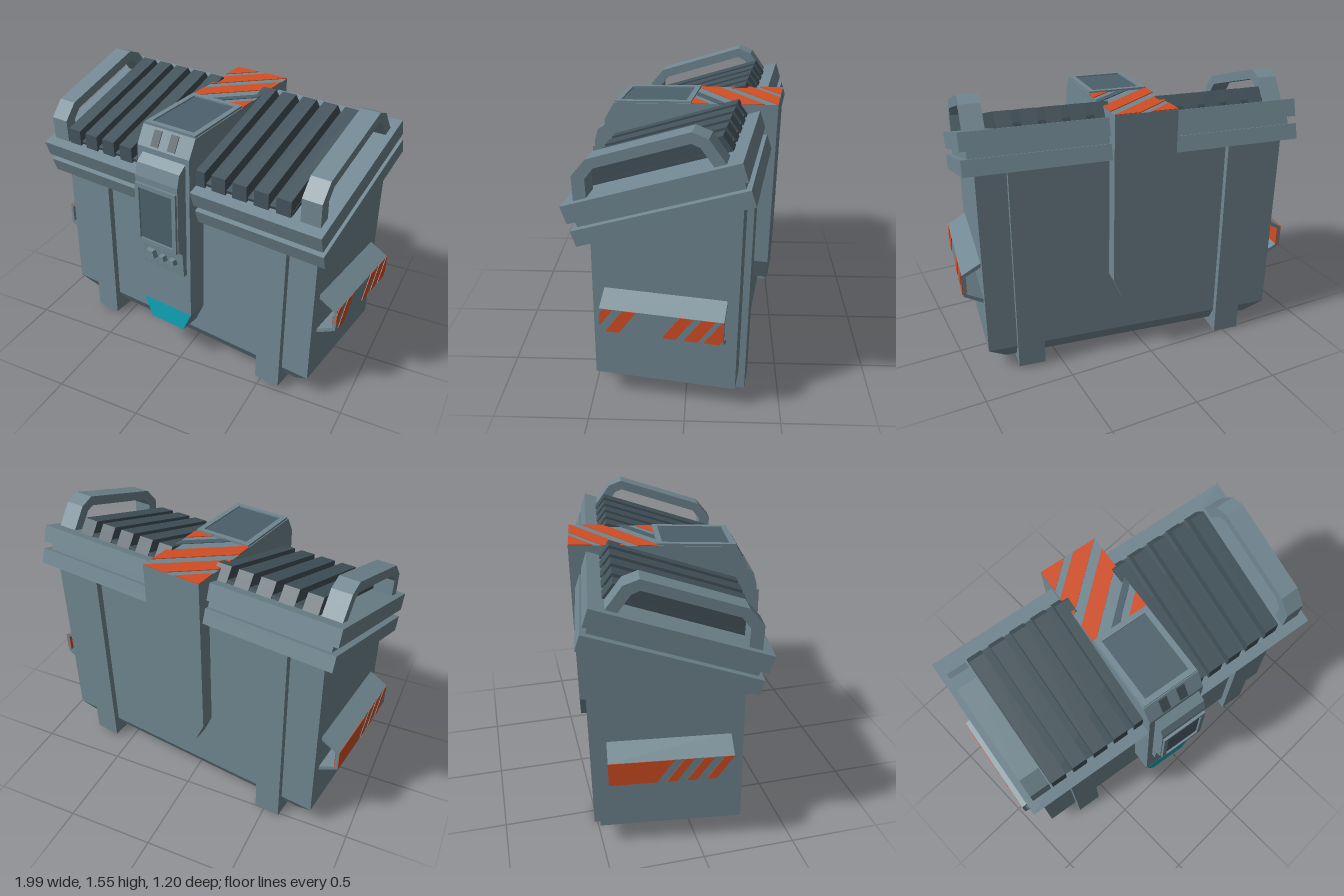
import * as THREE from 'three';
import { ConvexGeometry } from 'three/addons/geometries/ConvexGeometry.js';

const paint = (name, color) => {
  const m = new THREE.MeshStandardMaterial({ color });
  m.name = name;
  return m;
};

export function createModel() {
  const steel = paint('blue grey steel', 0x718791);
  const dark = paint('dark slate', 0x43535b);
  const screen = paint('screen grey', 0x4c606b);
  const orange = paint('hazard orange', 0xd24e24);
  const teal = paint('teal', 0x0fa5b9);

  const add = (parent, name, geo, mat, x = 0, y = 0, z = 0) => {
    const m = new THREE.Mesh(geo, mat);
    m.name = name;
    m.position.set(x, y, z);
    parent.add(m);
    return m;
  };
  const group = (parent, name, x = 0, y = 0, z = 0) => {
    const g = new THREE.Group();
    g.name = name;
    g.position.set(x, y, z);
    parent.add(g);
    return g;
  };
  const box = (w, h, d) => new THREE.BoxGeometry(w, h, d);
  const shapeOf = pts => new THREE.Shape(pts.map(p => new THREE.Vector2(p[0], p[1])));
  const extrude = (shape, depth) => new THREE.ExtrudeGeometry(shape, { depth, bevelEnabled: false });
  // side profile given as [z, y], extruded across x and centred
  const profile = (pts, width) =>
    extrude(shapeOf(pts), width).translate(0, 0, -width / 2).rotateY(-Math.PI / 2);
  // rectangular rim around a screen, lying in the xy plane
  const frame = (w, h, b, depth) => {
    const rect = (x, y) => [[-x, -y], [x, -y], [x, y], [-x, y]];
    const s = shapeOf(rect(w / 2, h / 2));
    s.holes.push(new THREE.Path(rect(w / 2 - b, h / 2 - b).reverse().map(p => new THREE.Vector2(...p))));
    return extrude(s, depth);
  };
  // slanted stripe from a to b, clipped to 0..len, as a thin plate
  const stripe = (a, b, slant, len, h) => {
    let pts = [[a, 0], [b, 0], [b + slant, h], [a + slant, h]];
    for (const [sign, lim] of [[1, 0], [-1, -len]]) {
      const out = [];
      pts.forEach((p, i) => {
        const q = pts[(i + 1) % pts.length];
        const dp = sign * p[0] - lim, dq = sign * q[0] - lim;
        if (dp >= 0) out.push(p);
        if (dp * dq < 0) {
          const t = dp / (dp - dq);
          out.push([p[0] + (q[0] - p[0]) * t, p[1] + (q[1] - p[1]) * t]);
        }
      });
      pts = out;
    }
    return extrude(shapeOf(pts), 0.004);
  };

  const model = new THREE.Group();
  model.name = 'crate';
  // the crate stands slightly turned and leaning back
  const crate = group(model, 'crateBody', 0, 0, 0.012);
  crate.rotation.set(-0.017, -0.148, 0, 'YXZ');

  // Body with a sloping top and a chamfered bottom
  const pts = [];
  for (const s of [-1, 1]) {
    for (const [x, y, z] of [
      [0.75, 0.06, 0.3], [0.75, 0.06, -0.355], [0.85, 0.14, 0.35], [0.85, 0.14, -0.4],
      [0.85, 0.99, 0.35], [0.85, 1.254, -0.4]]) pts.push(new THREE.Vector3(s * x, y, z));
  }
  add(crate, 'body', new ConvexGeometry(pts), steel);

  // Bands wrapping under the body as feet
  for (const [x, y] of [[-0.59, 0.0075], [0.615, 0.025]]) {
    add(crate, 'footBand',
      profile([[0.385, y], [0.385, 0.98], [-0.435, 1.266], [-0.435, y]], 0.15), steel, x);
  }

  // Sloping lid: two rims, a seam, ribs and handles
  const lid = group(crate, 'lid', 0, 1.118, -0.017);
  lid.rotation.x = 0.335;
  add(lid, 'lowerRim', box(1.83, 0.085, 0.915), steel);
  add(lid, 'lidSeam', box(1.76, 0.06, 0.86), steel, 0, 0.06);
  add(lid, 'upperRim', box(1.83, 0.095, 0.915), steel, 0, 0.13);
  add(lid, 'ribBed', box(1.48, 0.02, 0.76), dark, -0.02, 0.186);
  const ribShape = [[0.4, 0.17], [0.37, 0.262], [-0.36, 0.262], [-0.39, 0.17]];
  for (const s of [-1, 1]) {
    for (let i = 0; i < 5; i++) {
      add(lid, 'rib', profile(ribShape, 0.085), dark, -0.02 + s * (0.695 - i * 0.128));
    }
    add(lid, 'handle', profile([
      [0.4, 0.17], [0.36, 0.3], [0.26, 0.362], [-0.27, 0.362], [-0.335, 0.31], [-0.38, 0.17],
      [-0.32, 0.17], [-0.285, 0.28], [-0.25, 0.31], [0.24, 0.31], [0.3, 0.27], [0.33, 0.17]], 0.11),
    steel, s * 0.825);
  }

  // Strap running up the front, over the lid and down the back
  const strap = group(crate, 'strap', -0.02);
  add(strap, 'strapBand', profile([
    [0.475, 0.335], [0.475, 1.32], [0.42, 1.42], [-0.485, 1.475], [-0.485, 0.52],
    [-0.38, 0.52], [-0.38, 1.15], [0.33, 1.15], [0.33, 0.335]], 0.34), steel);
  const tip = (top, bottom) =>
    shapeOf([[-0.17, top], [-0.115, bottom], [0.115, bottom], [0.17, top]]);
  add(strap, 'frontTip', extrude(tip(0.335, 0.21), 0.135), steel, 0, 0, 0.335);
  add(strap, 'tealTip', extrude(tip(0.335, 0.21), 0.006), teal, 0, 0, 0.47);
  add(strap, 'backTip', extrude(tip(0.52, 0.39), 0.105), steel, 0, 0, -0.485);
  for (const x of [-0.06, 0.05]) {
    const slot = add(strap, 'slot', box(0.05, 0.09, 0.008), dark, x, 1.37, 0.448);
    slot.rotation.x = -0.503;
  }

  // Control unit on the front
  add(strap, 'controlUnit', profile([
    [0.46, 0.61], [0.5, 0.61], [0.51, 0.76], [0.545, 0.79], [0.545, 1.18], [0.525, 1.25], [0.46, 1.3]],
  0.28), steel, 0.005);
  add(strap, 'frontScreenFrame', frame(0.27, 0.36, 0.025, 0.015), steel, 0.005, 0.965, 0.545);
  add(strap, 'frontScreen', box(0.22, 0.31, 0.006), screen, 0.005, 0.965, 0.546);
  for (const [x, r] of [[-0.07, 0.042], [0.01, 0.028], [0.08, 0.028]]) {
    const knob = add(strap, 'knob',
      new THREE.CylinderGeometry(r * 0.85, r, 0.04, 5).toNonIndexed(), steel, x, 0.69, 0.515);
    knob.geometry.computeVertexNormals();
    knob.rotation.x = Math.PI / 2;
  }

  // Top of the strap: screen at the front, hazard stripes at the back
  const top = group(strap, 'strapTop', 0, 1.42, 0.42);
  top.rotation.x = 0.0607;
  const flat = (name, geo, mat, y, z) => { add(top, name, geo.rotateX(-Math.PI / 2), mat, 0, y, z); };
  flat('topScreenFrame', frame(0.33, 0.43, 0.03, 0.012), steel, 0, -0.22);
  flat('topScreen', box(0.27, 0.37, 0.006), screen, 0.001, -0.22);
  const hazard = group(top, 'topStripes', 0.17, 0, -0.905);
  for (const [a, b, mat] of [[0, 0.13, orange], [0.18, 0.3, orange], [0.37, 0.49, orange],
    [0.57, 0.62, screen], [0.67, 0.8, orange]]) {
    // stripe length runs from back to front, its height from right to left
    const geo = stripe(a - 0.3, b - 0.3, 0.3, 0.47, 0.34);
    geo.applyMatrix4(new THREE.Matrix4().makeBasis(
      new THREE.Vector3(0, 0, 1), new THREE.Vector3(-1, 0, 0), new THREE.Vector3(0, -1, 0)));
    // flip the plate so that its thickness rises from the strap
    geo.translate(0, 0.004, 0);
    const m = add(hazard, 'topStripe', geo, mat);
    m.material.side = THREE.DoubleSide;
  }

  // Bent bumper plates on both ends with hazard stripes
  for (const s of [1, -1]) {
    const bar = group(crate, s > 0 ? 'leftBumper' : 'rightBumper', 0, 0, -0.028);
    if (s < 0) bar.rotation.y = Math.PI;
    const plate = shapeOf([
      [0.84, 0.42], [0.955, 0.485], [0.955, 0.615], [0.84, 0.68],
      [0.84, 0.655], [0.937, 0.603], [0.937, 0.497], [0.84, 0.445]]);
    add(bar, 'bumperPlate', extrude(plate, 0.63).translate(0, 0, -0.315), steel);
    const bands = s > 0
      ? [[-0.07, -0.02], [0.03, 0.1], [0.32, 0.39], [0.43, 0.5], [0.53, 0.61]]
      : [[-0.1, 0.24], [0.29, 0.34], [0.39, 0.44], [0.49, 0.54]];
    for (const [a, b] of bands) {
      const outer = stripe(a, b, 0.09, 0.63, 0.13).rotateY(Math.PI / 2);
      add(bar, 'bumperStripe', outer, orange, 0.954, 0.485, 0.315);
      const inner = stripe(a, b, 0.09, 0.63, 0.106).rotateY(Math.PI / 2);
      add(bar, 'innerStripe', inner, orange, 0.934, 0.497, 0.315);
    }
  }
  return model;
}
